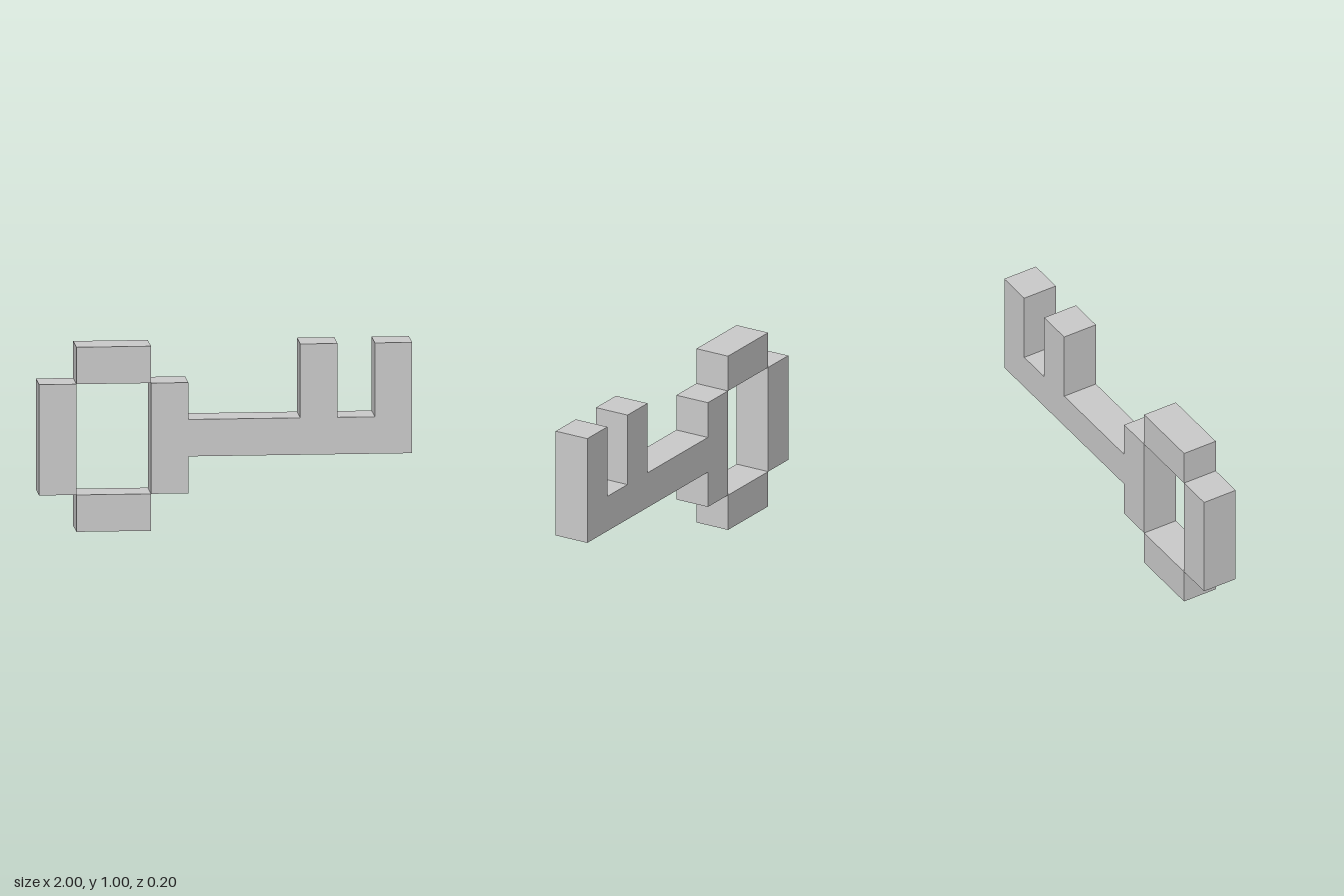
import * as THREE from 'three';

const DEPTH = 0.2;
const material = new THREE.MeshStandardMaterial({ color: 0xcccccc, flatShading: true });

// Box spanning x0..x1 and y0..y1, centred on z = 0
function block(name, x0, x1, y0, y1) {
  const mesh = new THREE.Mesh(new THREE.BoxGeometry(x1 - x0, y1 - y0, DEPTH), material);
  mesh.position.set((x0 + x1) / 2, (y0 + y1) / 2, 0);
  mesh.name = name;
  return mesh;
}

export function createModel() {
  const key = new THREE.Group();
  key.name = 'key';

  // Bow: blocks meeting only along their corner edges
  const bow = new THREE.Group();
  bow.name = 'bow';
  bow.add(
    block('bowOuterSide', -1, -0.8, 0.2, 0.8),
    block('bowTop', -0.8, -0.4, 0.8, 1),
    block('bowBottom', -0.8, -0.4, 0, 0.2),
  );
  key.add(bow);

  // Inner side of the bow, shaft and two upright teeth as one solid outline
  const outline = [
    [-0.4, 0.2], [-0.2, 0.2], [-0.2, 0.4], [1, 0.4], [1, 1], [0.8, 1], [0.8, 0.6],
    [0.6, 0.6], [0.6, 1], [0.4, 1], [0.4, 0.6], [-0.2, 0.6], [-0.2, 0.8], [-0.4, 0.8],
  ].map(([x, y]) => new THREE.Vector2(x, y));
  const geometry = new THREE.ExtrudeGeometry(new THREE.Shape(outline), { depth: DEPTH, bevelEnabled: false });
  geometry.translate(0, 0, -DEPTH / 2);
  const shaft = new THREE.Mesh(geometry, material);
  shaft.name = 'shaftWithTeeth';
  key.add(shaft);

  return key;
}
